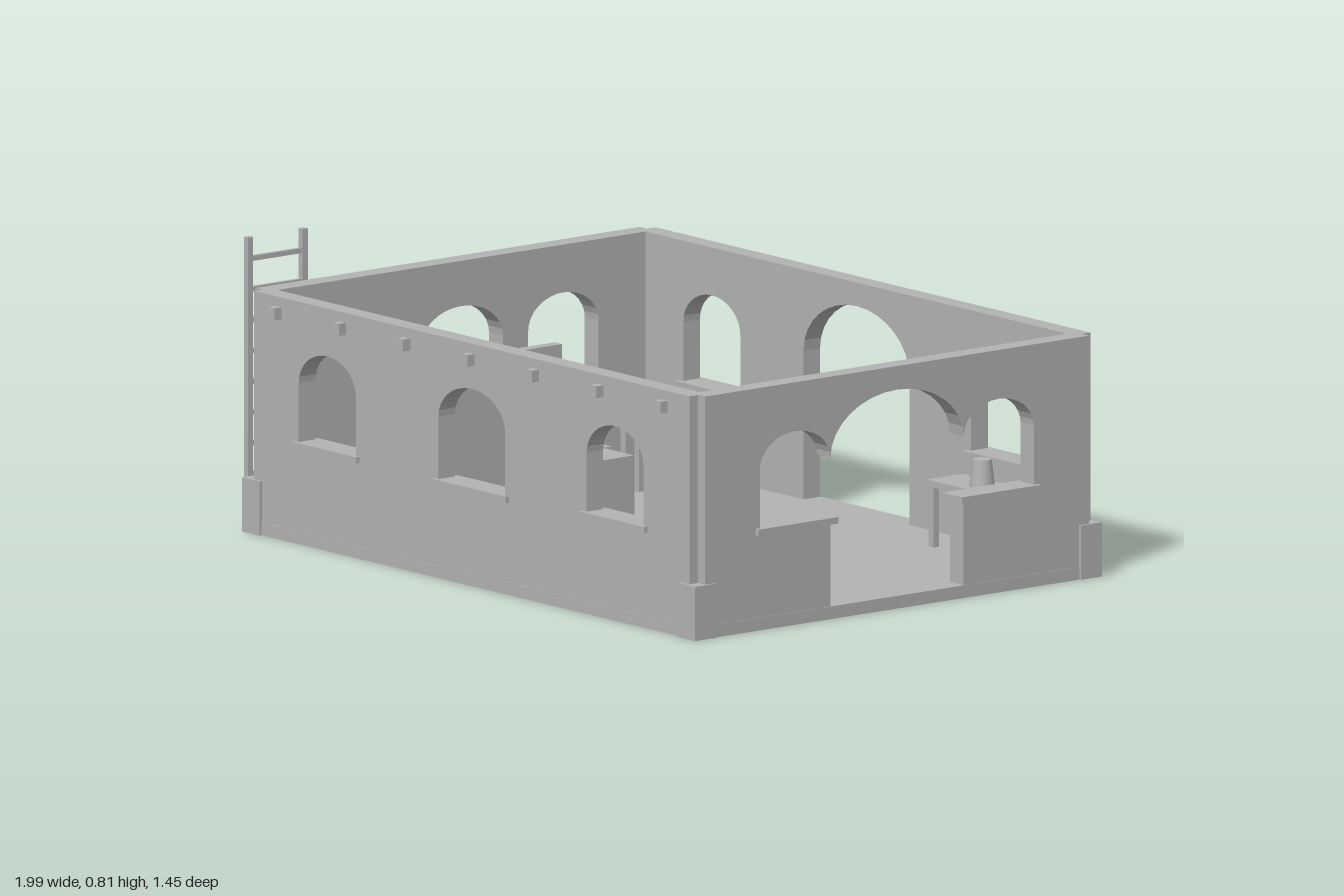
import * as THREE from 'three';

const BASE = 0.035, TOP = 0.67, SPRING = 0.445, MID = 0.0125;

export function createModel() {
  const model = new THREE.Group();
  const plaster = new THREE.MeshStandardMaterial({ color: 0xb3b3b3 });
  plaster.name = 'plaster grey';

  const add = (name, geo, parent = model) => {
    const mesh = new THREE.Mesh(geo, plaster);
    mesh.name = name;
    parent.add(mesh);
    return mesh;
  };
  // box given by its extents along each axis
  const box = (name, x0, x1, y0, y1, z0, z1, parent) =>
    add(name, new THREE.BoxGeometry(x1 - x0, y1 - y0, z1 - z0)
      .translate((x0 + x1) / 2, (y0 + y1) / 2, (z0 + z1) / 2), parent);
  const group = (name) => {
    const g = new THREE.Group();
    g.name = name;
    model.add(g);
    return g;
  };

  // elliptical arch points, from -half to +half
  const arch = (c, half, top) => Array.from({ length: 17 }, (_, i) => {
    const a = Math.PI * (1 - i / 16);
    return new THREE.Vector2(c + half * Math.cos(a), SPRING + (top - SPRING) * Math.sin(a));
  });
  const v = (x, y) => new THREE.Vector2(x, y);
  const windowHole = ([c, half, bottom, top]) =>
    new THREE.Path([v(c - half, bottom), ...arch(c, half, top), v(c + half, bottom)]);
  // wall outline with optional openings cut up from its base
  const wallShape = (a, b, opening = [], windows = []) => {
    const shape = new THREE.Shape([v(a, BASE), ...opening, v(b, BASE), v(b, TOP), v(a, TOP)]);
    shape.holes = windows.map(windowHole);
    return shape;
  };
  const extrude = (shape, depth) => new THREE.ExtrudeGeometry(shape, { depth, bevelEnabled: false });

  // window: centre, half width, bottom, top
  const small = (c) => [c, 0.123, 0.282, 0.538];
  const large = (c) => [c, 0.144, 0.273, 0.545];
  const frontWindows = [small(-0.61), large(MID), small(0.63)];
  const backWindows = [small(-0.61), small(0.63)];
  const leftWindows = [small(-0.355), large(0)];

  // floor and walls
  box('floor', -0.957, 0.982, 0, BASE, -0.702, 0.702);
  add('frontWall', extrude(wallShape(-0.925, 0.95, [], frontWindows), 0.058).translate(0, 0, 0.642));
  const door = [v(MID - 0.228, BASE), ...arch(MID, 0.228, 0.605), v(MID + 0.228, BASE)];
  add('backWall', extrude(wallShape(-0.925, 0.95, door, backWindows), 0.058).translate(0, 0, -0.7));
  add('windowSideWall', extrude(wallShape(-0.67, 0.67, [], leftWindows), 0.06)
    .rotateY(-Math.PI / 2).translate(-0.895, 0, 0));
  // doorway merging with a window on each side, leaving pointed drops between the arches
  const triple = [
    v(-0.232, BASE), v(-0.232, 0.28), v(-0.478, 0.28),
    ...arch(-0.355, 0.123, 0.535), ...arch(0, 0.232, 0.605).slice(1), ...arch(0.355, 0.123, 0.535).slice(1),
    v(0.478, 0.28), v(0.232, 0.28), v(0.232, BASE),
  ];
  add('archedSideWall', extrude(wallShape(-0.67, 0.67, triple), 0.058)
    .rotateY(-Math.PI / 2).translate(0.98, 0, 0));

  // sills
  const sillExtent = ([c, half, bottom]) => [c - half - 0.016, c + half + 0.016, bottom - 0.018, bottom];
  for (const w of frontWindows) box('frontSill', ...sillExtent(w), 0.625, 0.712);
  for (const w of backWindows) box('backSill', ...sillExtent(w), -0.712, -0.625);
  const sideSill = (name, w, x0, x1) => {
    const [a, b, y0, y1] = sillExtent(w);
    box(name, x0, x1, y0, y1, a, b);
  };
  for (const w of leftWindows) sideSill('sideSill', w, -0.967, -0.883);
  for (const c of [-0.355, 0.355]) sideSill('counterSill', small(c), 0.907, 0.994);

  // shutters beside the back windows
  for (const [c] of backWindows)
    for (const s of [-1, 1]) {
      const x = c + s * 0.176;
      box('shutter', x - 0.033, x + 0.033, 0.29, 0.465, -0.715, -0.699);
    }

  // roof beam ends and corner footings
  for (let i = 0; i < 7; i++) {
    const x = -0.82 + i * 0.277;
    box('beamEnd', x - 0.014, x + 0.014, 0.61, 0.643, 0.69, 0.725);
    box('beamEnd', x - 0.014, x + 0.014, 0.61, 0.643, -0.725, -0.69);
  }
  for (const [x0, x1] of [[-0.965, -0.89], [0.912, 0.987]])
    for (const [z0, z1] of [[-0.71, -0.636], [0.636, 0.71]])
      box('cornerFooting', x0, x1, 0, 0.15, z0, z1);

  // ladder
  const ladder = group('ladder');
  for (const z of [0.475, 0.666]) box('ladderRail', -1, -0.982, 0, 0.805, z - 0.009, z + 0.009, ladder);
  for (let i = 0; i < 9; i++) {
    const y = 0.065 + i * 0.085;
    box('rung', -0.997, -0.985, y - 0.007, y + 0.007, 0.475, 0.666, ladder);
  }

  // interior partition
  box('partition', -0.21, -0.178, BASE, 0.58, 0.23, 0.605);

  // four-legged furniture
  const legged = (name, x0, x1, z0, z1, top, thick, leg) => {
    const g = group(name);
    box(name + 'Top', x0, x1, top - thick, top, z0, z1, g);
    for (const x of [x0 + 0.004, x1 - leg - 0.004])
      for (const z of [z0 + 0.004, z1 - leg - 0.004])
        box(name + 'Leg', x, x + leg, BASE, top - thick, z, z + leg, g);
    return g;
  };
  legged('desk', -0.82, -0.57, -0.515, -0.355, 0.22, 0.018, 0.02);
  legged('sideTable', 0.5, 0.832, -0.617, -0.492, 0.22, 0.018, 0.02);
  const chair = legged('chair', -0.75, -0.637, -0.315, -0.2, 0.157, 0.016, 0.014);
  box('chairBack', -0.75, -0.637, 0.157, 0.285, -0.216, -0.2, chair);

  // pot on the side table
  const pot = (x, y, z, s) => add('pot', new THREE.CylinderGeometry(0.026 * s, 0.035 * s, 0.076 * s, 16)
    .translate(x, y + 0.038 * s, z));
  pot(0.668, 0.22, -0.55, 1);

  // open shelf unit
  const shelf = group('shelfUnit');
  for (const x of [0.187, 0.425]) box('shelfSide', x, x + 0.016, BASE, 0.4, 0.48, 0.595, shelf);
  for (const y of [0.045, 0.16, 0.275, 0.386]) box('shelfBoard', 0.187, 0.441, y, y + 0.014, 0.48, 0.595, shelf);
  box('shelfBack', 0.187, 0.441, BASE, 0.4, 0.585, 0.595, shelf);
  pot(0.36, 0.174, 0.535, 0.9);
  pot(0.27, 0.289, 0.535, 0.8);

  return model;
}
